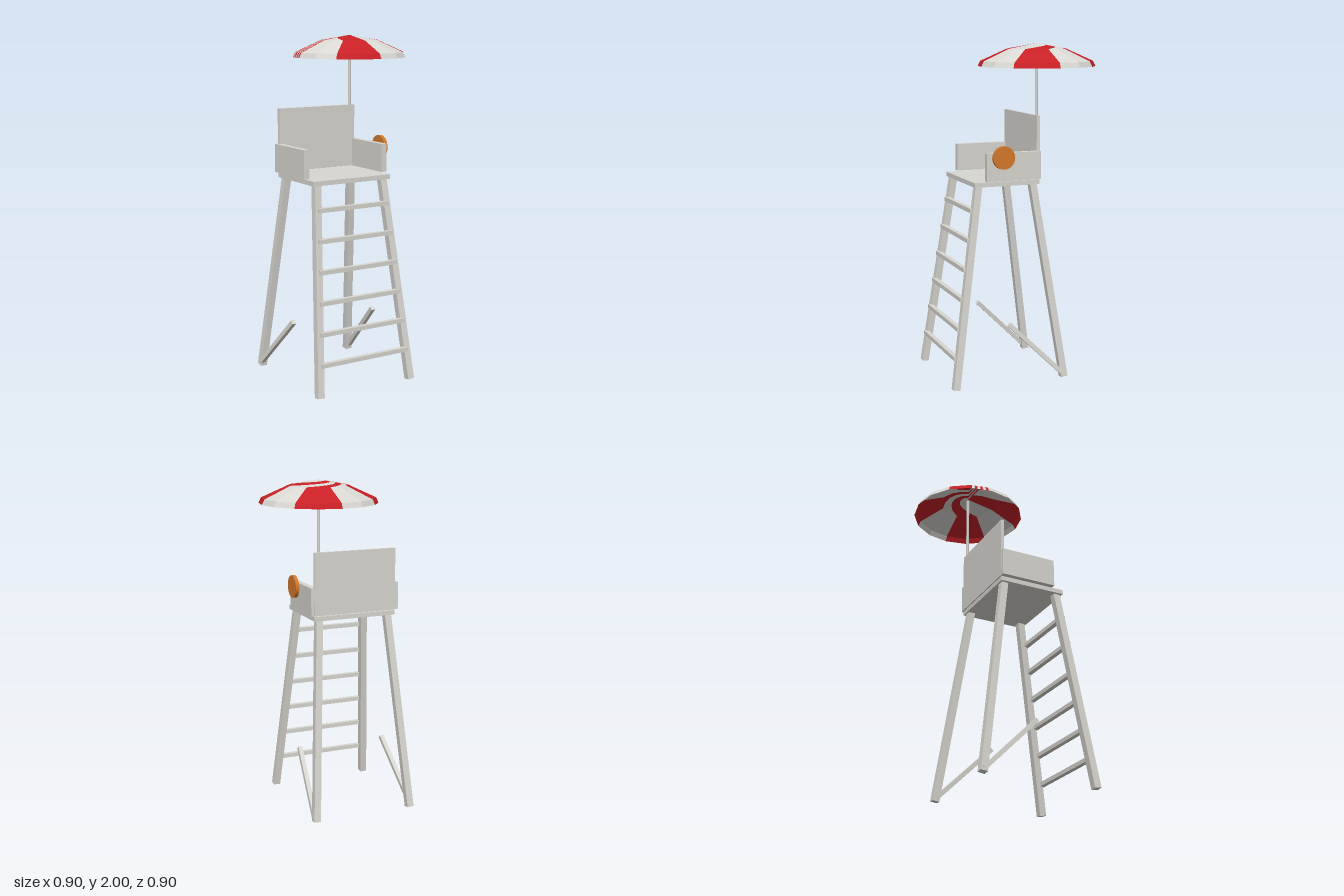
import * as THREE from 'three';

const mat = (name, color, side = THREE.FrontSide) => {
  const m = new THREE.MeshStandardMaterial({ color, side });
  m.name = name;
  return m;
};

export function createModel() {
  const model = new THREE.Group();
  model.name = 'lifeguardChair';
  const paint = mat('paleGrey', 0xd8d6d0);
  const canopyWhite = mat('canopyWhite', 0xdbd9d4, THREE.DoubleSide);
  const canopyRed = mat('canopyRed', 0xc82126, THREE.DoubleSide);
  const orange = mat('orange', 0xd47a2c);

  const add = (parent, name, geometry, material, x = 0, y = 0, z = 0) => {
    const mesh = new THREE.Mesh(geometry, material);
    mesh.name = name;
    mesh.position.set(x, y, z);
    parent.add(mesh);
    return mesh;
  };
  const box = (parent, name, w, h, d, x, y, z) =>
    add(parent, name, new THREE.BoxGeometry(w, h, d), paint, x, y, z);

  // Square beam between two points
  const beam = (parent, name, from, to, size) => {
    const a = new THREE.Vector3(...from), b = new THREE.Vector3(...to);
    const dir = b.clone().sub(a);
    const mesh = box(parent, name, size, dir.length(), size, 0, 0, 0);
    mesh.position.copy(a).add(b).multiplyScalar(0.5);
    mesh.quaternion.setFromUnitVectors(new THREE.Vector3(0, 1, 0), dir.normalize());
  };

  // Chair, symmetric about its own centre line
  const chair = new THREE.Group();
  chair.name = 'chair';
  chair.position.x = -0.12;
  model.add(chair);
  box(chair, 'seat', 0.516, 0.027, 0.403, 0, 1.1965, 0.083);
  box(chair, 'backrest', 0.515, 0.37, 0.02, 0, 1.4, -0.111);

  for (const s of [1, -1]) {
    const side = s > 0 ? 'left' : 'right';
    box(chair, side + 'Armrest', 0.036, 0.165, 0.336, s * 0.261, 1.2975, 0.048);
    beam(chair, side + 'FrontLeg', [s * 0.308, 0.005, 0.427], [s * 0.22, 1.188, 0.252], 0.041);
    beam(chair, side + 'RearLeg', [s * 0.308, 0.005, -0.26], [s * 0.22, 1.188, -0.087], 0.041);
    beam(chair, side + 'Brace', [s * 0.316, 0.02, -0.258], [s * 0.277, 0.355, 0.081], 0.026);
  }

  // Ladder rungs follow the lean and taper of the front legs
  for (let i = 0; i < 6; i++) {
    const y = 0.188 + i * 0.1715;
    const t = y / 1.188;
    box(chair, 'rung', 2 * (0.306 - 0.08 * t), 0.025, 0.028, 0, y, 0.427 - 0.175 * t + 0.019);
  }

  // Round float on the left armrest
  add(model, 'lifeRing', new THREE.CylinderGeometry(0.067, 0.067, 0.021, 32), orange,
    0.1745, 1.353, 0.12).rotation.z = Math.PI / 2;

  // Parasol
  const parasol = new THREE.Group();
  parasol.name = 'parasol';
  parasol.position.set(0.108, 0, -0.11);
  model.add(parasol);
  add(parasol, 'pole', new THREE.CylinderGeometry(0.009, 0.009, 0.6, 10), paint, 0, 1.69, 0);

  // Canopy facets carry a stripe value u and are cut where the colour changes
  const clip = (poly, limit, sign) => {
    const out = [];
    poly.forEach((p, i) => {
      const q = poly[(i + 1) % poly.length];
      const dp = (p[3] - limit) * sign, dq = (q[3] - limit) * sign;
      if (dp >= 0) out.push(p);
      if (dp * dq < 0) out.push(p.map((v, k) => v + (q[k] - v) * dp / (dp - dq)));
    });
    return out;
  };
  const stripes = [[], []];
  const facet = (...tri) => {
    for (let k = 0; k < 8; k++) {
      const poly = clip(clip(tri, k / 8, 1), (k + 1) / 8, -1);
      for (let j = 1; j + 1 < poly.length; j++) {
        for (const p of [poly[0], poly[j], poly[j + 1]]) stripes[k % 2].push(p[0], p[1], p[2]);
      }
    }
  };
  const sides = 16;
  const rows = [[0.34, 1.87], [0.325, 1.9], [0.17, 1.97]];
  const point = ([r, y], i) => {
    const a = (i / sides) * Math.PI * 2;
    return [-r * Math.cos(a), y, r * Math.sin(a), (i % sides) / sides];
  };
  for (let i = 0; i < sides; i++) {
    for (let j = 0; j < 2; j++) {
      const a = point(rows[j], i), b = point(rows[j], i + 1);
      const c = point(rows[j + 1], i + 1), d = point(rows[j + 1], i);
      facet(a, b, d);
      facet(b, c, d);
    }
    // The stripes swirl in towards the tip
    facet(point(rows[2], i), point(rows[2], i + 1), [0, 2, 0, 0.2501]);
  }
  stripes.forEach((positions, k) => {
    const g = new THREE.BufferGeometry();
    g.setAttribute('position', new THREE.Float32BufferAttribute(positions, 3));
    g.computeVertexNormals();
    add(parasol, k ? 'redStripes' : 'whiteStripes', g, k ? canopyRed : canopyWhite);
  });

  return model;
}
